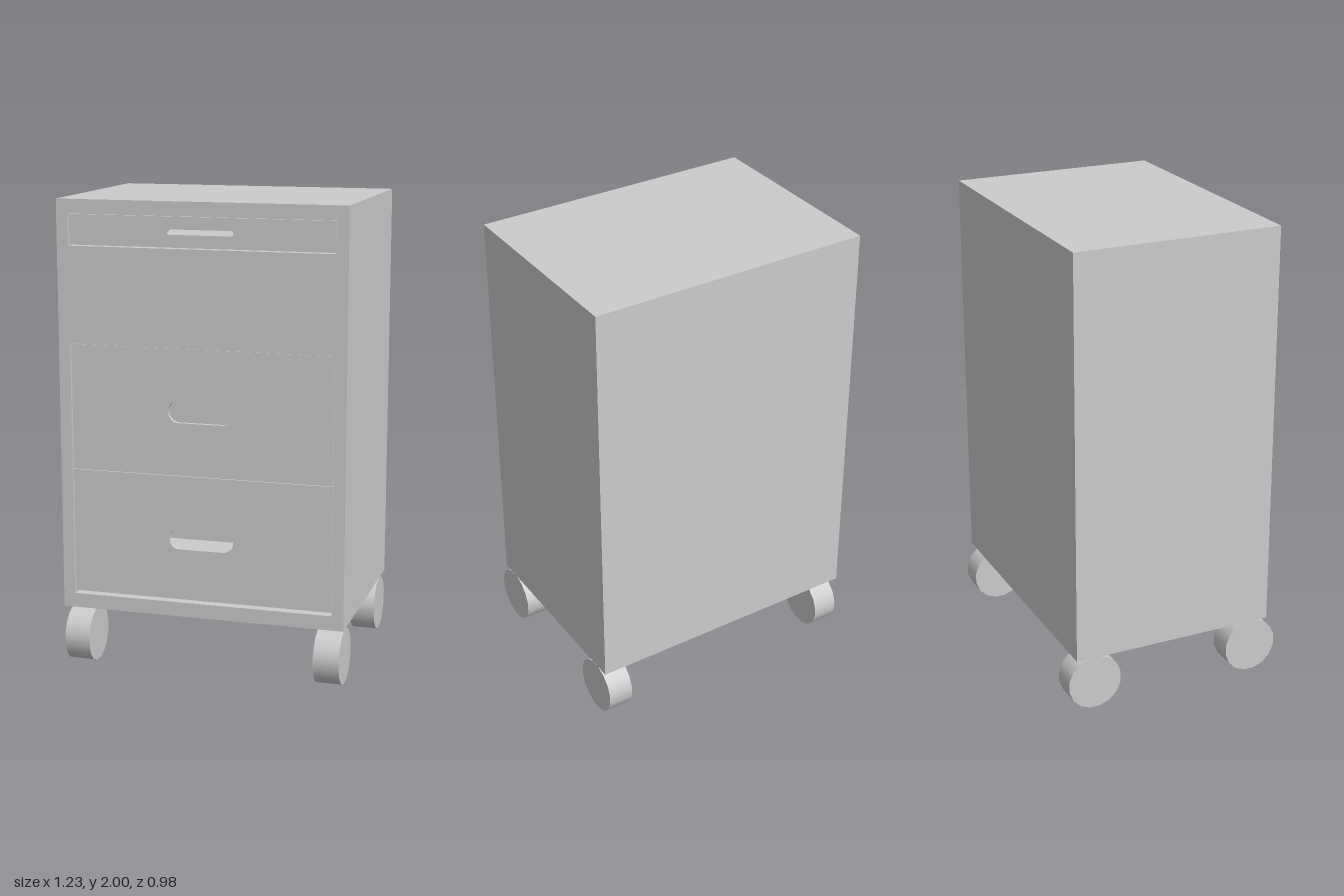
import * as THREE from 'three';

const material = new THREE.MeshStandardMaterial({ color: 0xcccccc });
const FRONT = 0.435, BACK = -0.462, WALL = 0.02;

function addMesh(parent, name, geometry, x = 0, y = 0, z = 0) {
  const mesh = new THREE.Mesh(geometry, material);
  mesh.name = name;
  mesh.position.set(x, y, z);
  parent.add(mesh);
  return mesh;
}

// Rectangle outline, optionally with rounded corners
function rectangle(x0, y0, x1, y1, r = 0, PathType = THREE.Path) {
  const p = new PathType();
  p.moveTo(x0 + r, y0).lineTo(x1 - r, y0);
  if (r) p.absarc(x1 - r, y0 + r, r, -Math.PI / 2, 0);
  p.lineTo(x1, y1 - r);
  if (r) p.absarc(x1 - r, y1 - r, r, 0, Math.PI / 2);
  p.lineTo(x0 + r, y1);
  if (r) p.absarc(x0 + r, y1 - r, r, Math.PI / 2, Math.PI);
  p.lineTo(x0, y0 + r);
  if (r) p.absarc(x0 + r, y0 + r, r, Math.PI, Math.PI * 1.5);
  return p;
}

function extrude(shape, depth) {
  return new THREE.ExtrudeGeometry(shape, { depth, bevelEnabled: false, curveSegments: 6 });
}

// Open tray with a front panel pierced by a rounded finger slot
function makeDrawer(name, y0, y1, slotY, slotHeight) {
  const drawer = new THREE.Group();
  drawer.name = name;
  const half = 0.562, face = FRONT - 0.008, depth = 0.8;
  const panel = rectangle(-half, y0, half, y1, 0, THREE.Shape);
  const h = slotHeight / 2;
  panel.holes.push(rectangle(-0.14, slotY - h, 0.14, slotY + h, h * 0.95));
  addMesh(drawer, 'drawerFront', extrude(panel, WALL), 0, 0, face - WALL);

  const trayHeight = (y1 - y0) * 0.8, midY = y0 + trayHeight / 2;
  const midZ = face - WALL - depth / 2;
  addMesh(drawer, 'drawerBottom', new THREE.BoxGeometry(2 * half - 0.04, WALL, depth), 0, y0 + WALL / 2, midZ);
  addMesh(drawer, 'drawerBack', new THREE.BoxGeometry(2 * half - 0.04, trayHeight, WALL), 0, midY, midZ - depth / 2);
  for (const side of [-1, 1]) {
    addMesh(drawer, 'drawerSide', new THREE.BoxGeometry(WALL, trayHeight, depth), side * (half - 0.02), midY, midZ);
  }
  return drawer;
}

export function createModel() {
  const model = new THREE.Group();
  model.name = 'drawerCabinet';

  // Carcass: one outline with an upper and a lower drawer opening
  const outline = rectangle(-0.615, 0.25, 0.615, 2, 0, THREE.Shape);
  outline.holes.push(rectangle(-0.565, 1.808, 0.565, 1.94));
  outline.holes.push(rectangle(-0.565, 0.312, 0.565, 1.4));
  addMesh(model, 'carcass', extrude(outline, FRONT - BACK - WALL), 0, 0, BACK + WALL);
  addMesh(model, 'backPanel', new THREE.BoxGeometry(1.23, 1.75, WALL), 0, 1.125, BACK + WALL / 2);

  // Drawers, set slightly back from the front edge
  model.add(makeDrawer('topDrawer', 1.812, 1.938, 1.875, 0.022));
  model.add(makeDrawer('middleDrawer', 0.862, 1.398, 1.133, 0.094));
  model.add(makeDrawer('bottomDrawer', 0.324, 0.86, 0.59, 0.094));

  // Wheels
  const wheel = new THREE.CylinderGeometry(0.12, 0.12, 0.11, 16);
  wheel.rotateY(Math.PI / 16).rotateZ(Math.PI / 2);
  for (const x of [-0.538, 0.554]) {
    for (const z of [-0.37, 0.37]) addMesh(model, 'wheel', wheel, x, 0.12, z);
  }
  return model;
}
